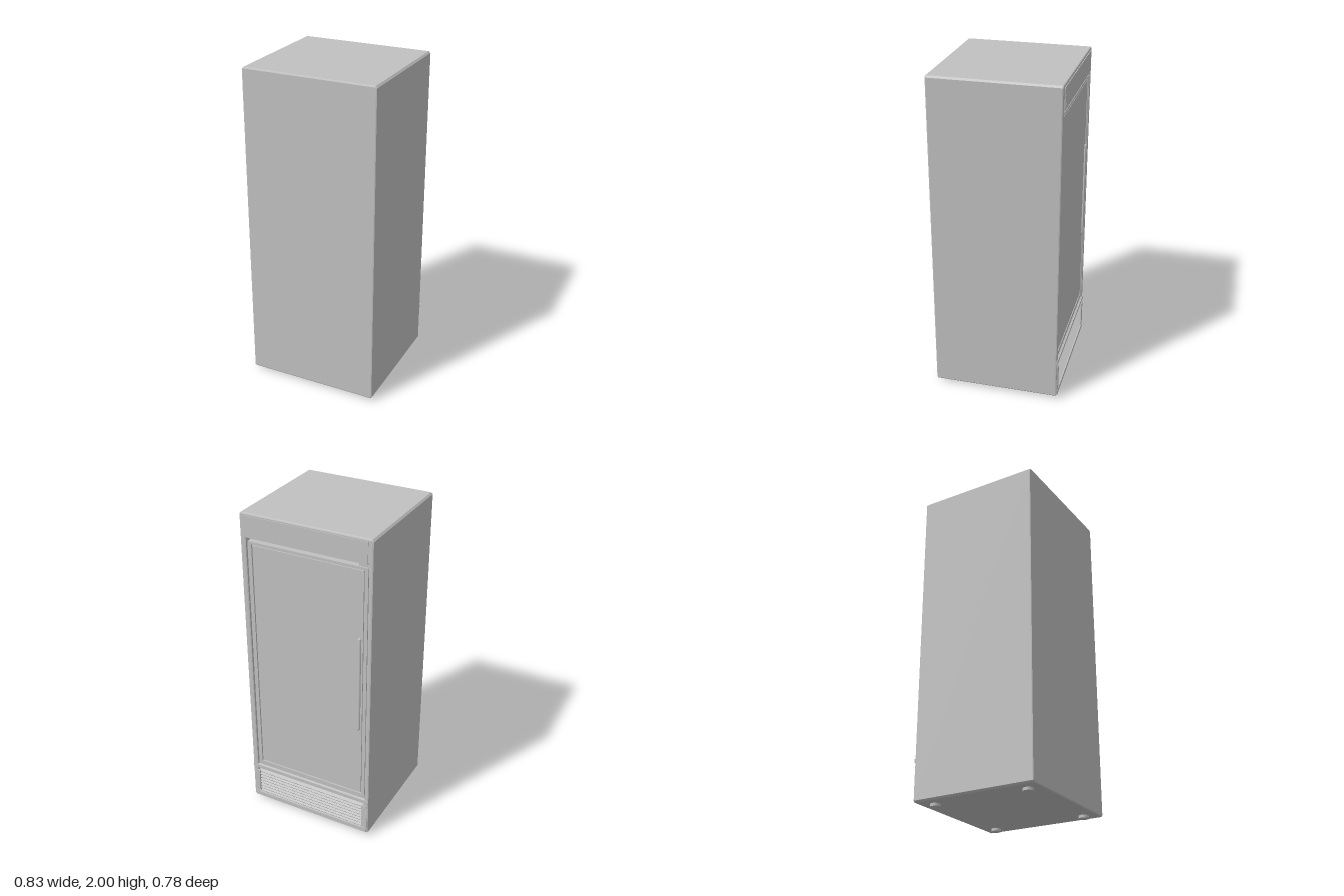
import * as THREE from 'three';

export function createModel() {
  const model = new THREE.Group();
  model.name = 'refrigerator';
  const steel = new THREE.MeshStandardMaterial({ color: 0xc0c0c0 });
  steel.name = 'steel grey';

  const add = (name, geometry, parent = model) => {
    const mesh = new THREE.Mesh(geometry, steel);
    mesh.name = name;
    parent.add(mesh);
    return mesh;
  };
  // Box given by its limits on each axis
  const box = (name, x0, x1, y0, y1, z0, z1, parent) => {
    const mesh = add(name, new THREE.BoxGeometry(x1 - x0, y1 - y0, z1 - z0), parent);
    mesh.position.set((x0 + x1) / 2, (y0 + y1) / 2, (z0 + z1) / 2);
    return mesh;
  };
  const rect = (path, x0, x1, y0, y1) => {
    path.moveTo(x0, y0);
    path.lineTo(x1, y0);
    path.lineTo(x1, y1);
    path.lineTo(x0, y1);
    path.closePath();
    return path;
  };

  // Cabinet shell with door and grille openings, bevelled all round
  const bevel = 0.008;
  const outline = new THREE.Shape();
  const X = 0.413 - bevel, Y0 = 0.017 + bevel, Y1 = 2 - bevel, c = 0.006;
  [[-X + c, Y0], [X - c, Y0], [X, Y0 + c], [X, Y1 - c], [X - c, Y1], [-X + c, Y1], [-X, Y1 - c], [-X, Y0 + c]]
    .forEach(([x, y], i) => (i ? outline.lineTo(x, y) : outline.moveTo(x, y)));
  outline.closePath();
  outline.holes.push(rect(new THREE.Path(), -0.392, 0.384, 0.267, 1.863));
  outline.holes.push(rect(new THREE.Path(), -0.385, 0.385, 0.045, 0.255));
  const shell = new THREE.ExtrudeGeometry(outline, {
    depth: 0.772 - 2 * bevel, bevelEnabled: true, bevelThickness: bevel, bevelSize: bevel, bevelSegments: 2,
  });
  shell.translate(0, 0, -0.385 + bevel);
  add('cabinetShell', shell);
  box('cabinetCore', -0.4, 0.4, 0.03, 1.985, -0.325, 0.387);

  // Header panel above the door, with screws
  box('headerPanel', -0.38, 0.38, 1.855, 1.985, -0.389, -0.38);
  for (const x of [-0.355, 0.355]) {
    for (const y of [1.885, 1.93]) {
      const screw = add('headerScrew', new THREE.CylinderGeometry(0.004, 0.004, 0.002, 12));
      screw.rotation.x = Math.PI / 2;
      screw.position.set(x, y, -0.39);
    }
  }

  // Recessed door: slab, grooved border and central panel
  const door = new THREE.Group();
  door.name = 'door';
  model.add(door);
  box('doorSlab', -0.38, 0.372, 0.28, 1.83, -0.368, -0.32, door);
  const border = rect(new THREE.Shape(), -0.38, 0.372, 0.28, 1.83);
  border.holes.push(rect(new THREE.Path(), -0.361, 0.348, 0.31, 1.815));
  const borderGeometry = new THREE.ExtrudeGeometry(border, { depth: 0.01, bevelEnabled: false });
  borderGeometry.translate(0, 0, -0.378);
  add('doorBorder', borderGeometry, door);
  box('doorPanel', -0.354, 0.341, 0.317, 1.808, -0.376, -0.366, door);
  box('topHinge', -0.383, -0.32, 1.83, 1.853, -0.37, -0.32, door);

  // Long vertical handle on two standoffs
  const bar = add('handleBar', new THREE.CapsuleGeometry(0.011, 0.598, 4, 16), door);
  bar.position.set(-0.335, 1.09, -0.382);
  bar.scale.z = 0.7;
  for (const y of [0.82, 1.36]) box('handleMount', -0.343, -0.327, y - 0.012, y + 0.012, -0.382, -0.37, door);

  // Ventilation grille below the door
  const grille = new THREE.Group();
  grille.name = 'grille';
  model.add(grille);
  box('grilleLedge', -0.411, 0.411, 0.25, 0.272, -0.389, -0.34, grille);
  box('grilleBottomRail', -0.4, 0.4, 0.025, 0.052, -0.389, -0.34, grille);
  for (const s of [-1, 1]) {
    const x = s * 0.385;
    box('grillePost', x - 0.018, x + 0.018, 0.06, 0.227, -0.389, -0.33, grille);
  }
  const slats = 8;
  for (let i = 0; i < slats; i++) {
    const y = 0.067 + (i * 0.155) / (slats - 1);
    const slat = box('grilleSlat', -0.37, 0.37, y - 0.003, y + 0.003, -0.385, -0.355, grille);
    slat.rotation.x = -0.4;
  }

  // Four round feet
  for (const x of [-0.325, 0.325]) {
    for (const z of [-0.295, 0.305]) {
      const foot = add('foot', new THREE.CylinderGeometry(0.03, 0.03, 0.02, 24));
      foot.position.set(x, 0.01, z);
    }
  }
  return model;
}
